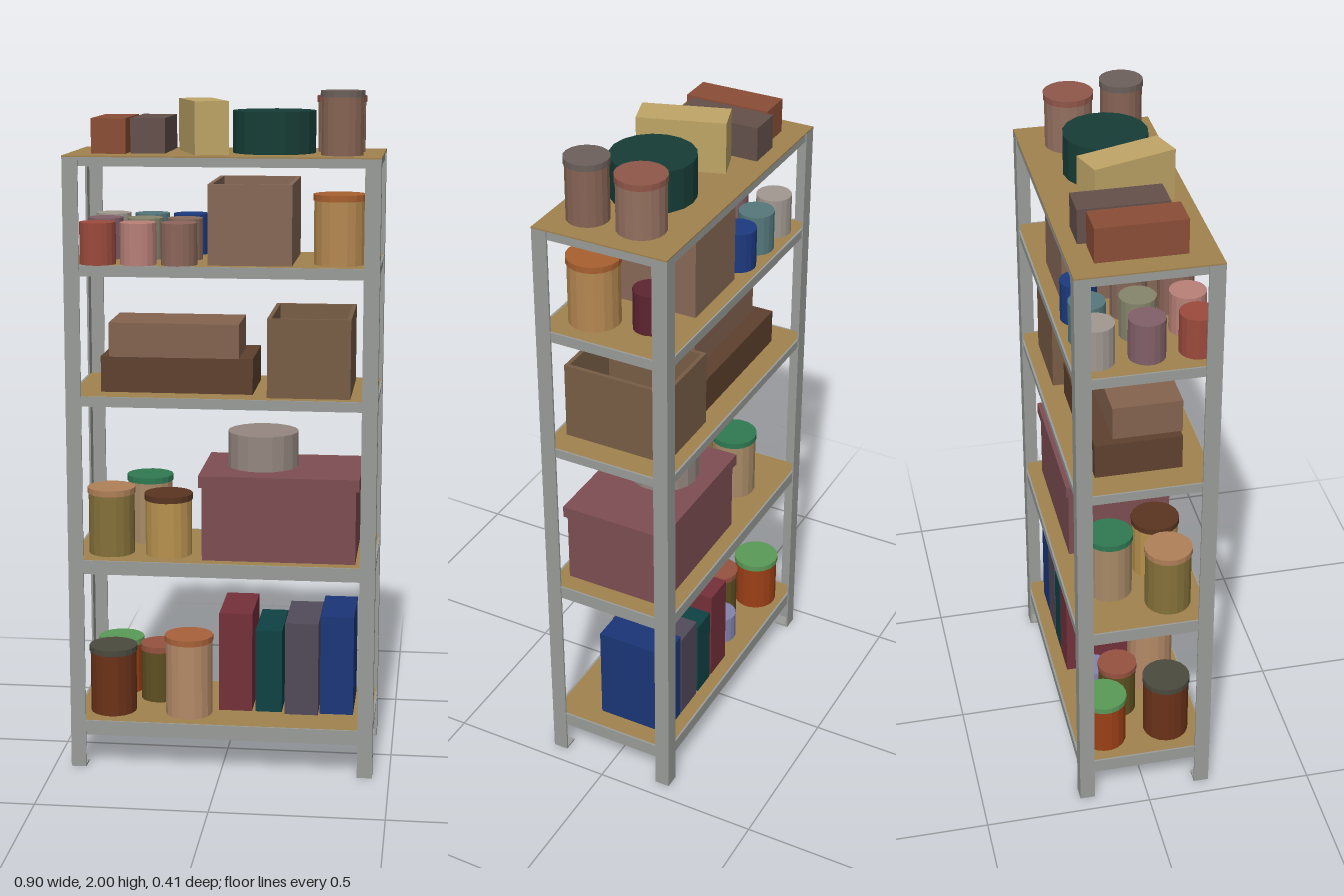
import * as THREE from 'three';

const mats = {};
const mat = (color) => (mats[color] ??= new THREE.MeshStandardMaterial({ color, flatShading: true }));

export function createModel() {
  const model = new THREE.Group();
  model.name = 'stockedShelving';

  function add(parent, name, geometry, color, x, y, z) {
    const mesh = new THREE.Mesh(geometry, mat(color));
    mesh.name = name;
    mesh.position.set(x, y, z);
    parent.add(mesh);
    return mesh;
  }
  // Box given by its limits on each axis
  function box(parent, name, color, x0, x1, y0, y1, z0, z1) {
    return add(parent, name, new THREE.BoxGeometry(x1 - x0, y1 - y0, z1 - z0), color,
      (x0 + x1) / 2, (y0 + y1) / 2, (z0 + z1) / 2);
  }
  function cylinder(parent, name, color, r, x, y0, y1, z) {
    return add(parent, name, new THREE.CylinderGeometry(r, r, y1 - y0, 18), color, x, (y0 + y1) / 2, z);
  }
  // Jar: body slightly narrower than its lid
  function jar(name, body, lid, r, x, y0, y1, z) {
    const g = new THREE.Group();
    g.name = name;
    cylinder(g, 'jarBody', body, r - 0.003, x, y0, y1 - 0.018, z);
    cylinder(g, 'jarLid', lid, r, x, y1 - 0.018, y1, z);
    model.add(g);
  }
  // Open-topped carton with thin walls
  function carton(name, color, x0, x1, y0, y1, z0, z1) {
    const g = new THREE.Group(), t = 0.012;
    g.name = name;
    box(g, 'cartonFloor', color, x0, x1, y0, y0 + t, z0, z1);
    box(g, 'cartonSide', color, x0, x0 + t, y0, y1, z0, z1);
    box(g, 'cartonSide', color, x1 - t, x1, y0, y1, z0, z1);
    box(g, 'cartonEnd', color, x0 + t, x1 - t, y0, y1, z0, z0 + t);
    box(g, 'cartonEnd', color, x0 + t, x1 - t, y0, y1, z1 - t, z1);
    model.add(g);
  }

  // Frame: four angle-iron posts with foot plates
  const STEEL = 0x999c98, BOARD = 0xa0824e;
  const W = 0.45, D = 0.201, TOP = 1.82, LEG = 0.045, T = 0.006;
  const frame = new THREE.Group();
  frame.name = 'frame';
  frame.position.z = -0.004;
  model.add(frame);
  for (const sx of [-1, 1]) {
    for (const sz of [-1, 1]) {
      const post = new THREE.Group();
      post.name = 'post';
      const h = TOP - 0.004;
      add(post, 'postFace', new THREE.BoxGeometry(LEG, h, T), STEEL, sx * (W - LEG / 2), h / 2, sz * (D - T / 2));
      add(post, 'postSide', new THREE.BoxGeometry(T, h, LEG - T), STEEL,
        sx * (W - T / 2), h / 2, sz * (D - T - (LEG - T) / 2));
      add(post, 'footPlate', new THREE.BoxGeometry(LEG, T, LEG), STEEL, sx * (W - LEG / 2), T / 2, sz * (D - LEG / 2));
      frame.add(post);
    }
  }

  // Shelves: thin board on a rim of beams
  const levels = [[0.145, 0.045], [0.64, 0.042], [1.13, 0.03], [1.51, 0.032], [TOP, 0.03]];
  for (const [top, h] of levels) {
    const shelf = new THREE.Group();
    shelf.name = 'shelf';
    const i = top === TOP ? 0 : T, b = top - 0.004;
    box(shelf, 'shelfBoard', BOARD, -W + i, W - i, b, top, -D + i, D - i);
    for (const s of [-1, 1]) {
      add(shelf, 'longBeam', new THREE.BoxGeometry(2 * (W - T), h - 0.004, T), STEEL,
        0, b - (h - 0.004) / 2, s * (D - T * 1.1));
      add(shelf, 'shortBeam', new THREE.BoxGeometry(T, h - 0.004, 2 * (D - T)), STEEL,
        s * (W - T * 1.1), b - (h - 0.004) / 2, 0);
      // Beam lips closing the gap to the board edge on the lower shelves
      if (i) {
        add(shelf, 'longLip', new THREE.BoxGeometry(2 * (W - T), 0.004, T), STEEL, 0, top - 0.002, s * (D - T * 0.6));
        add(shelf, 'shortLip', new THREE.BoxGeometry(T, 0.004, 2 * (D - T)), STEEL, s * (W - T * 0.6), top - 0.002, 0);
      }
    }
    frame.add(shelf);
  }

  // Bottom shelf: jars and a row of books
  let y = 0.145;
  jar('brownJar', 0x6b3219, 0x4b4a3e, 0.072, -0.338, y, 0.35, 0.085);
  jar('tanJar', 0xb58a68, 0xa8623a, 0.073, -0.108, y, 0.39, 0.087);
  jar('oliveJar', 0x5e4f20, 0x96523f, 0.06, -0.215, y, 0.32, -0.04);
  jar('orangeJar', 0x9c4016, 0x5a9a58, 0.07, -0.345, y, 0.315, -0.11);
  cylinder(model, 'lilacCan', 0x8482ac, 0.05, -0.115, y, 0.235, -0.095);
  const books = [
    [0x74303a, -0.02, 0.08, 0.45, 0.06], [0x0f4244, 0.09, 0.17, 0.40, 0.06],
    [0x514a5a, 0.18, 0.28, 0.43, 0.075], [0x1b3678, 0.285, 0.385, 0.45, 0.06],
  ];
  for (const [color, x0, x1, top, front] of books) box(model, 'book', color, x0, x1, y, top, -0.16, front);

  // Second shelf: jars, lidded box and a tin on top
  y = 0.64;
  jar('oliveJar', 0x85713a, 0xb08058, 0.071, -0.338, y, 0.84, 0.085);
  jar('yellowJar', 0xb8924e, 0x5a3520, 0.072, -0.167, y, 0.825, 0.085);
  jar('paleJar', 0xa88a68, 0x2f7a52, 0.07, -0.245, y, 0.845, -0.07);
  box(model, 'storageBox', 0x7d4e52, -0.06, 0.39, y, 0.86, -0.155, 0.155);
  box(model, 'storageBoxLid', 0x7d4e52, -0.07, 0.40, 0.86, 0.895, -0.163, 0.163);
  cylinder(model, 'roundTin', 0x958780, 0.105, 0.105, 0.895, 1.0, -0.01);

  // Third shelf: stacked boxes and an open carton
  y = 1.13;
  box(model, 'lowerBox', 0x5f412e, -0.36, 0.085, y, 1.235, -0.135, 0.115);
  box(model, 'upperBox', 0x84634f, -0.335, 0.045, 1.235, 1.335, -0.08, 0.12);
  carton('openCarton', 0x785d45, 0.13, 0.37, y, 1.36, -0.16, 0.16);

  // Fourth shelf: three rows of small cans, a carton and two jars
  y = 1.51;
  const cans = [
    [0x9c4a3c, 0xb88078, 0x8c665a],
    [0x826068, 0x86846c, 0x86685a],
    [0xa09890, 0x55787c, 0x1c3a80],
  ];
  cans.forEach((row, j) => row.forEach((color, i) =>
    cylinder(model, 'smallCan', color, 0.052, -0.358 + 0.117 * i, y, 1.63, (i === 2 && j === 0 ? 0.145 : 0.15) - 0.14 * j)));
  carton('openCarton', 0x866856, -0.04, 0.20, y, 1.74, -0.16, 0.16);
  jar('yellowJar', 0xb58850, 0xa8602f, 0.077, 0.33, y, 1.71, 0.08);
  cylinder(model, 'darkCan', 0x5c2430, 0.05, 0.297, y, 1.63, -0.075);

  // Top: small boxes, round tin and two jars
  y = TOP;
  box(model, 'redBox', 0x8a4e36, -0.38, -0.28, y, 1.92, -0.137, 0.115);
  box(model, 'darkBox', 0x64504a, -0.27, -0.17, y, 1.92, -0.16, 0.092);
  add(model, 'tiltedBox', new THREE.BoxGeometry(0.098, 0.15, 0.25), 0xbfa566, -0.069, y + 0.075, 0.016).rotation.y = 0.313;
  cylinder(model, 'greenTin', 0x173d36, 0.12, 0.135, y, 1.94, 0.002);
  jar('tallJar', 0x947060, 0x90574a, 0.072, 0.325, y, 1.98, -0.065);
  jar('tallJar', 0x876454, 0x6c605a, 0.063, 0.335, y, 2.0, 0.09);

  return model;
}
